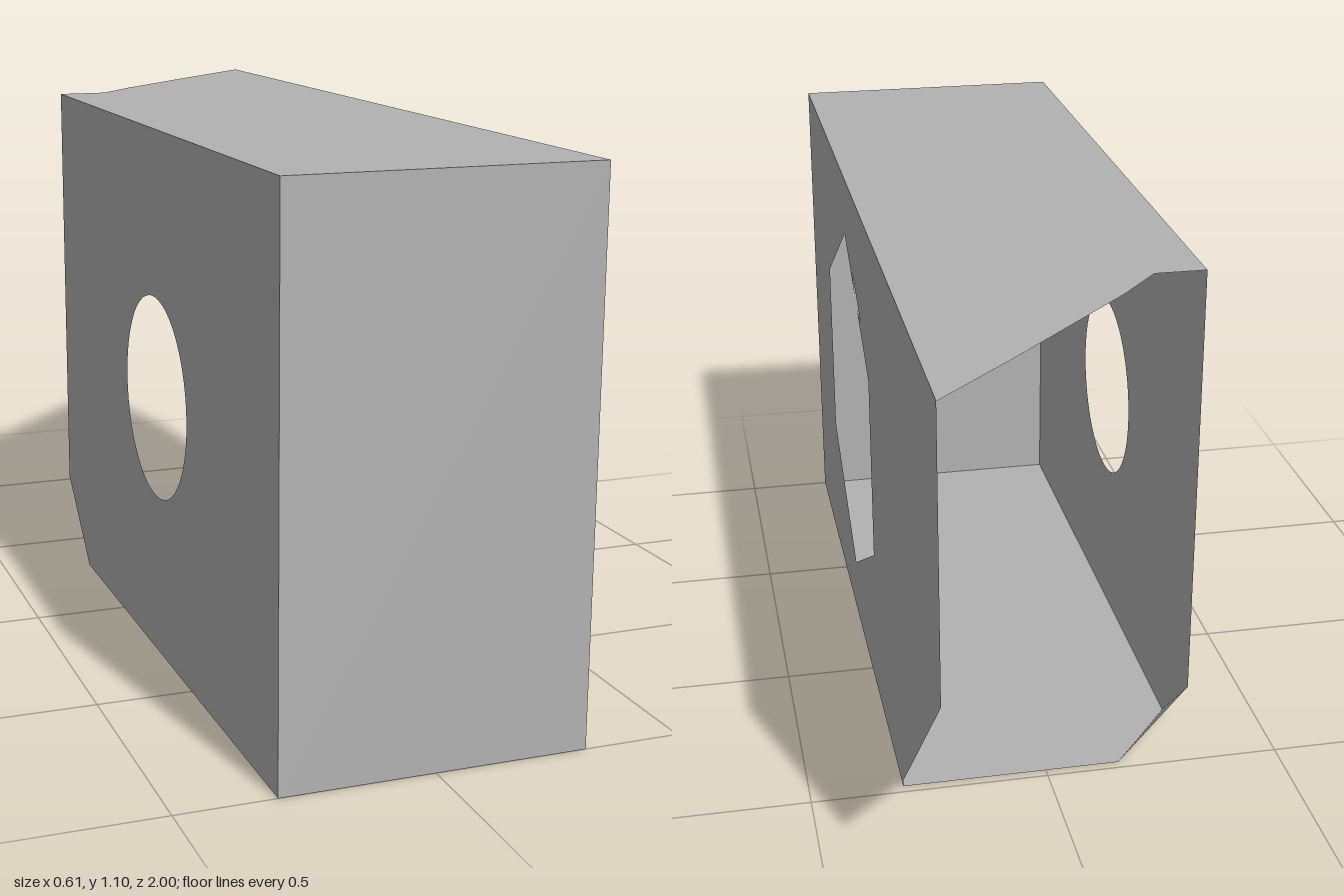
import * as THREE from 'three';

const W = 0.305, H = 1.1;

// Flat panel drawn from [u, v] points, with an optional hole
function panelGeometry(points, hole) {
  const toVectors = list => list.map(([u, v]) => new THREE.Vector2(u, v));
  const shape = new THREE.Shape(toVectors(points));
  if (hole) shape.holes.push(new THREE.Path(toVectors(hole)));
  return new THREE.ShapeGeometry(shape);
}

function ring(u, v, radius, sides) {
  return Array.from({ length: sides }, (_, i) => {
    const a = Math.PI / 2 - (i / sides) * Math.PI * 2;
    return [u + radius * Math.cos(a), v + radius * Math.sin(a)];
  });
}

export function createModel() {
  const group = new THREE.Group();
  const grey = new THREE.MeshStandardMaterial({ color: 0xb2b2b2, side: THREE.DoubleSide });
  grey.name = 'plain grey';

  const add = (name, geometry) => {
    const mesh = new THREE.Mesh(geometry, grey);
    mesh.name = name;
    group.add(mesh);
  };

  // Front wall
  add('frontWall', new THREE.PlaneGeometry(2 * W, H).translate(0, H / 2, 1));

  // Left wall (u = -z): sloped rear corner, hexagonal opening with a small nick
  const hexagon = ring(-0.27, 0.55, 0.415, 6);
  hexagon.splice(1, 0, [-0.11, 0.874], [-0.147, 0.92], [-0.02, 0.848], [-0.08, 0.857]);
  add('leftWall', panelGeometry(
    [[-1, 0], [0.48, 0], [0.48, 0.015], [0.6, 0.13], [0.81, 0.335], [1, 0.52], [1, H], [-1, H]],
    hexagon).rotateY(Math.PI / 2).translate(W, 0, 0));

  // Right wall (u = z): shorter, clipped lower corner, round opening
  add('rightWall', panelGeometry(
    [[1, 0], [1, H], [-0.48, H], [-0.48, 0.17], [-0.3, 0]],
    ring(0.27, 0.55, 0.21, 48)).rotateY(-Math.PI / 2).translate(-W, 0, 0));

  // Roof (v = -z): slanted rear edge
  add('roof', panelGeometry(
    [[-W, -1], [W, -1], [W, 1], [0.138, 0.837], [-0.116, 0.578], [-0.2, 0.48], [-W, 0.48]]
  ).rotateX(-Math.PI / 2).translate(0, H, 0));

  // Floor (v = z): one clipped corner
  add('floor', panelGeometry(
    [[-W, 1], [W, 1], [W, -0.48], [-0.158, -0.48], [-W, -0.3]]).rotateX(Math.PI / 2));

  // Triangular facet closing the clipped corner
  const facet = new THREE.BufferGeometry();
  facet.setAttribute('position', new THREE.Float32BufferAttribute(
    [-0.158, 0, -0.48, -W, 0, -0.3, -W, 0.17, -0.48], 3));
  facet.computeVertexNormals();
  add('cornerFacet', facet);

  return group;
}
